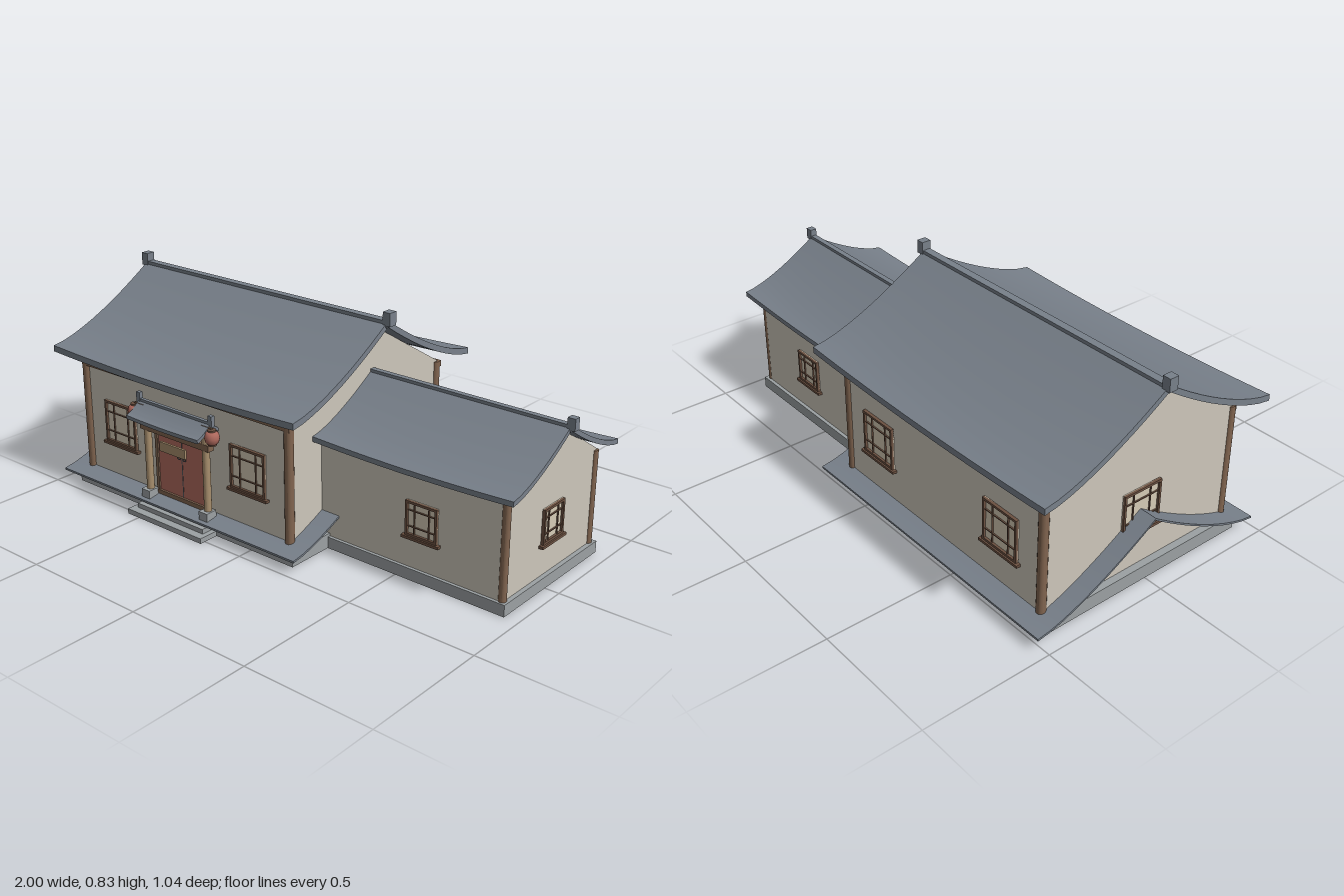
import * as THREE from 'three';
import { toCreasedNormals } from 'three/addons/utils/BufferGeometryUtils.js';

const paint = (name, color) => {
  const m = new THREE.MeshStandardMaterial({ color });
  m.name = name;
  return m;
};

export function createModel() {
  const model = new THREE.Group();
  model.name = 'courtyardHouse';
  const plaster = paint('plaster', 0xcdc7bb);
  const tile = paint('roofTile', 0x78808a);
  const stone = paint('stone', 0x9ca1a3);
  const timber = paint('timber', 0x80644f);
  const lattice = paint('latticeWood', 0x6c5141);
  const tan = paint('paleWood', 0xa78e6d);
  const red = paint('redLacquer', 0xb06a5e);
  const paper = paint('windowPaper', 0xd6cbb6);
  const iron = paint('darkIron', 0x55565a);

  const add = (name, geo, mat, x = 0, y = 0, z = 0, parent = model) => {
    const mesh = new THREE.Mesh(geo, mat);
    mesh.name = name;
    mesh.position.set(x, y, z);
    parent.add(mesh);
    return mesh;
  };
  // box given by its min and max along each axis
  const span = (name, mat, x0, x1, y0, y1, z0, z1, parent) =>
    add(name, new THREE.BoxGeometry(x1 - x0, y1 - y0, z1 - z0), mat,
      (x0 + x1) / 2, (y0 + y1) / 2, (z0 + z1) / 2, parent);
  const post = (name, mat, x, z, y0, y1, r) =>
    add(name, toCreasedNormals(new THREE.CylinderGeometry(r, r, y1 - y0, 16), 0.6), mat, x, (y0 + y1) / 2, z);

  // gabled body: house outline swept along x
  const body = (name, x0, x1, zc, half, y0, wallTop, peak) => {
    const s = new THREE.Shape();
    s.moveTo(-half, y0);
    s.lineTo(half, y0);
    s.lineTo(half, wallTop);
    s.lineTo(0, peak);
    s.lineTo(-half, wallTop);
    s.closePath();
    const g = new THREE.ExtrudeGeometry(s, { depth: x1 - x0, bevelEnabled: false });
    g.rotateY(Math.PI / 2);
    add(name, g, plaster, x0, 0, zc);
  };

  // concave two-slope roof slab; eaves dip slightly between the raised corners
  const roof = (name, x0, x1, zc, half, eave, rise, thick, sag) => {
    const len = x1 - x0;
    const g = new THREE.BoxGeometry(len, thick, half * 2, 16, 1, 20);
    const p = g.attributes.position;
    for (let i = 0; i < p.count; i++) {
      const t = Math.abs(p.getZ(i)) / half;
      const u = 2 * p.getX(i) / len;
      const y = eave + rise * Math.pow(Math.max(0, 1 - t), 1.45) - sag * t * t * (1 - u * u);
      p.setY(i, y + p.getY(i) - thick / 2);
    }
    add(name, toCreasedNormals(g, 0.5), tile, (x0 + x1) / 2, 0, zc);
  };
  // ridge beam with a block on the chosen ends
  const ridge = (name, x0, x1, zc, top, w, h, blockW, ends) => {
    span(name + 'Ridge', tile, x0, x1, top - 0.02, top + 0.006, zc - w * 0.42, zc + w * 0.42);
    for (const x of ends) span(name + 'RidgeEnd', tile, x - blockW / 2, x + blockW / 2, top - 0.012, top + h, zc - w / 2, zc + w / 2);
  };

  // lattice window, built facing +z then turned
  const latticeWindow = (x, y, z, w, h, turn) => {
    const g = new THREE.Group();
    g.name = 'latticeWindow';
    const a = w / 2, b = h / 2, f = 0.009;
    span('paper', paper, -a, a, -b, b, -0.002, 0.003, g);
    for (const s of [-1, 1]) {
      span('frameSide', lattice, s * (a - f / 2) - f / 2, s * (a - f / 2) + f / 2, -b, b, 0, 0.012, g);
      span('frameRail', lattice, -a, a, s * (b - f / 2) - f / 2, s * (b - f / 2) + f / 2, 0, 0.012, g);
      span('uprightBar', lattice, s * w * 0.23 - 0.002, s * w * 0.23 + 0.002, -b, b, 0, 0.008, g);
      span('crossBar', lattice, -a, a, s * h * 0.23 - 0.002, s * h * 0.23 + 0.002, 0, 0.008, g);
    }
    span('sill', lattice, -a - 0.012, a + 0.012, -b - 0.01, -b, 0, 0.018, g);
    g.position.set(x, y, z);
    g.rotation.y = turn;
    model.add(g);
  };

  // plinths
  span('hallPlinth', stone, -0.925, 0.198, 0, 0.055, -0.48, 0.44);
  span('wingPlinth', stone, 0.19, 0.945, 0, 0.044, -0.34, 0.25);

  // main hall
  body('hallWalls', -0.897, 0.16, -0.02, 0.425, 0.05, 0.513, 0.768);
  for (const x of [-0.888, 0.154])
    for (const z of [0.402, -0.438]) post('hallColumn', timber, x, z, 0.055, 0.513, 0.0175);
  for (const z of [0.405, -0.445]) span('hallBeam', timber, -0.9, 0.168, 0.49, 0.513, z - 0.012, z + 0.012);
  roof('hallRoof', -0.98, 0.246, -0.02, 0.502, 0.565, 0.23, 0.024, 0.015);
  ridge('hall', -0.98, 0.25, -0.02, 0.792, 0.036, 0.038, 0.032, [-0.979, 0.251]);
  // low sloped apron sharing the roof curve
  roof('lowApron', -0.97, 0.24, -0.02, 0.502, 0.055, 0.23, 0.008, 0);

  // side wing
  body('wingWalls', 0.12, 0.928, -0.044, 0.282, 0.04, 0.4, 0.58);
  for (const z of [0.229, -0.315]) post('wingColumn', timber, 0.923, z, 0.044, 0.4, 0.0145);
  roof('wingRoof', 0.06, 0.98, -0.042, 0.328, 0.438, 0.152, 0.019, 0.012);
  ridge('wing', 0.1, 0.985, -0.042, 0.588, 0.026, 0.032, 0.03, [0.985]);

  // windows
  for (const x of [-0.698, -0.035]) {
    latticeWindow(x, 0.288, 0.405, 0.168, 0.168, 0);
    latticeWindow(x, 0.288, -0.445, 0.168, 0.168, Math.PI);
  }
  latticeWindow(-0.897, 0.288, -0.02, 0.168, 0.168, -Math.PI / 2);
  latticeWindow(0.602, 0.231, 0.238, 0.13, 0.13, 0);
  latticeWindow(0.602, 0.231, -0.326, 0.13, 0.13, Math.PI);
  latticeWindow(0.928, 0.231, -0.045, 0.125, 0.13, Math.PI / 2);

  // entrance steps
  const cx = -0.365;
  span('lowerStep', stone, cx - 0.193, cx + 0.193, 0, 0.02, 0.4, 0.522);
  span('upperStep', stone, cx - 0.172, cx + 0.172, 0.02, 0.038, 0.4, 0.49);

  // double door
  for (const s of [-1, 1]) {
    span('doorLeaf', red, cx + s * 0.063 - 0.061, cx + s * 0.063 + 0.061, 0.085, 0.345, 0.404, 0.414);
    span('doorJamb', timber, cx + s * 0.13 - 0.007, cx + s * 0.13 + 0.007, 0.07, 0.355, 0.404, 0.42);
    const ring = new THREE.TorusGeometry(0.007, 0.002, 6, 12);
    add('doorRing', ring, iron, cx + s * 0.014, 0.243, 0.416);
  }
  span('doorSeam', iron, cx - 0.002, cx + 0.002, 0.085, 0.345, 0.41, 0.415);
  span('doorThreshold', timber, cx - 0.137, cx + 0.137, 0.068, 0.085, 0.404, 0.422);

  // porch posts, beam, sign and small roof
  for (const s of [-1, 1]) {
    const x = cx + s * 0.152;
    span('postStone', stone, x - 0.021, x + 0.021, 0.038, 0.09, 0.418, 0.466);
    post('porchPost', tan, x, 0.438, 0.09, 0.385, 0.0145);
  }
  span('porchBeam', timber, cx - 0.178, cx + 0.178, 0.33, 0.355, 0.424, 0.453);
  span('porchUpperBeam', timber, cx - 0.165, cx + 0.165, 0.365, 0.385, 0.428, 0.448);
  span('signBoard', tan, cx - 0.066, cx + 0.066, 0.273, 0.31, 0.453, 0.462);
  roof('porchRoof', cx - 0.185, cx + 0.185, 0.44, 0.07, 0.398, 0.044, 0.014, 0.004);
  ridge('porch', cx - 0.185, cx + 0.185, 0.44, 0.44, 0.016, 0.03, 0.018, [cx - 0.186, cx + 0.186]);

  // hanging lanterns
  const barrel = [[0.001, -0.024], [0.017, -0.024], [0.025, -0.015], [0.028, 0], [0.025, 0.015], [0.017, 0.024], [0.001, 0.024]]
    .map(([r, y]) => new THREE.Vector2(r, y));
  for (const s of [-1, 1]) {
    const x = cx + s * 0.2;
    add('lantern', new THREE.LatheGeometry(barrel, 16), red, x, 0.395, 0.452);
    for (const e of [-1, 1]) post('lanternCap', lattice, x, 0.452, 0.395 + e * 0.026 - 0.004, 0.395 + e * 0.026 + 0.004, 0.016);
    span('lanternArm', timber, Math.min(x, x - s * 0.05), Math.max(x, x - s * 0.05), 0.424, 0.43, 0.449, 0.455);
  }
  return model;
}
